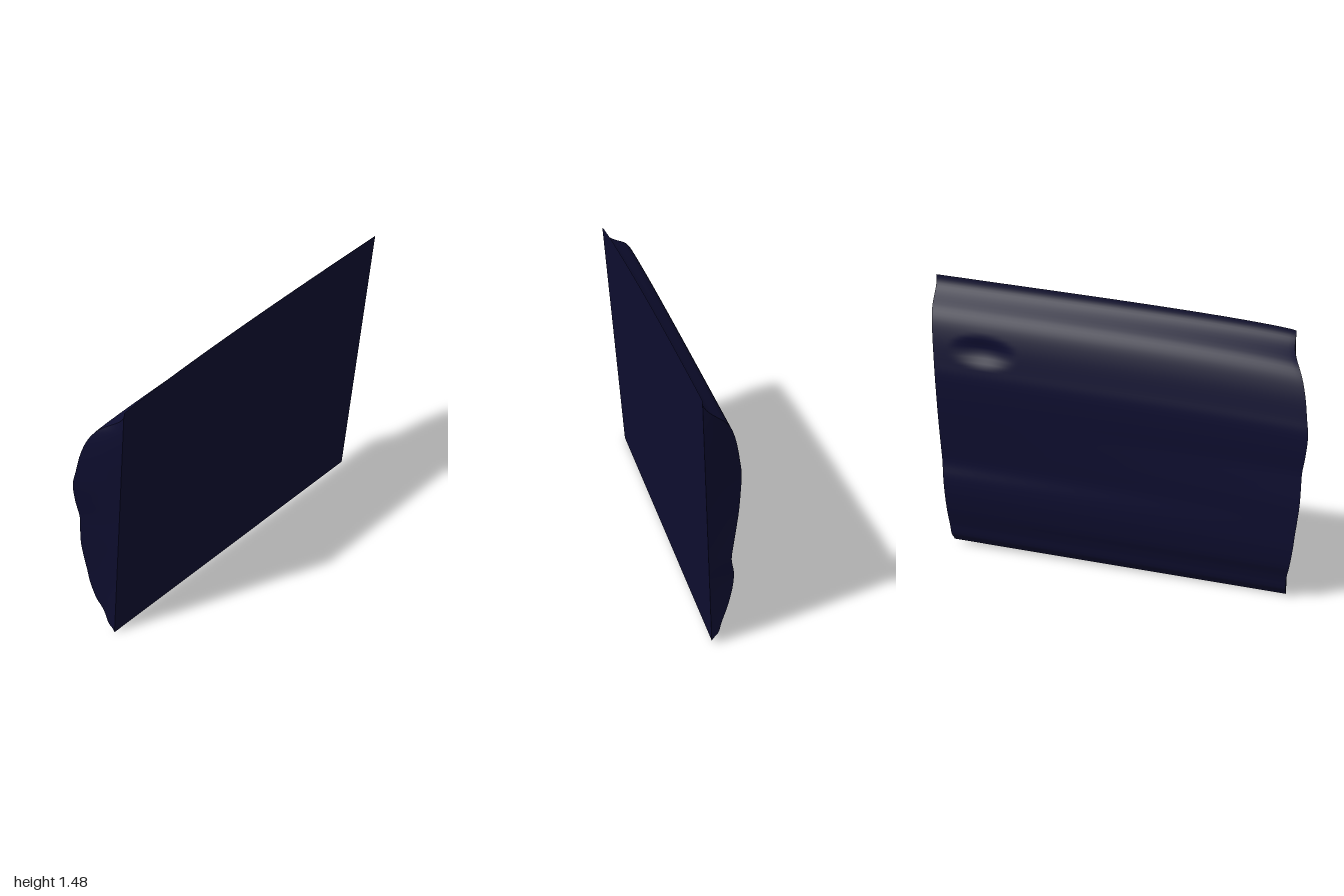
import * as THREE from 'three';

const { lerp } = THREE.MathUtils;

// Section of the pressed skin: height fraction, z at the -x end, z at the +x end
const section = new THREE.CatmullRomCurve3([
  [0, 0.005, 0.005], [0.012, -0.005, -0.006], [0.032, -0.03, -0.028],
  [0.075, -0.046, -0.042], [0.105, -0.06, -0.055], [0.14, -0.08, -0.07],
  [0.22, -0.1, -0.093], [0.28, -0.106, -0.096], [0.34, -0.112, -0.081],
  [0.41, -0.116, -0.09], [0.47, -0.113, -0.1], [0.53, -0.109, -0.109],
  [0.6, -0.116, -0.114], [0.68, -0.116, -0.115], [0.73, -0.103, -0.104],
  [0.81, -0.08, -0.081], [0.87, -0.05, -0.051], [0.92, 0, 0],
  [0.965, 0.055, 0.045], [1, 0.115, 0.092],
].map((p) => new THREE.Vector3(...p)), false, 'centripetal');

// Flat inner face: u runs from -x to +x, v from bottom to top
function inner(u, v) {
  const bottomY = lerp(0, 0.022, u);
  const topY = lerp(1.378, 1.478, u) + 0.018 * Math.sin(Math.PI * Math.pow(u, 0.6));
  const topZ = 0.092 + 0.023 * (1 - u) ** 2;
  return new THREE.Vector3(
    lerp(lerp(-0.906, -0.876, v), lerp(0.92, 0.998, v), u),
    lerp(bottomY, topY, v),
    lerp(0.005, topZ, v),
  );
}

// Curved outer skin, with the ends swept toward -x and a scooped handle recess
function outer(u, t) {
  const s = section.getPoint(t);
  const p = inner(u, s.x);
  const topBlend = THREE.MathUtils.smoothstep(s.x, 0.9, 1);
  const z = lerp(lerp(s.y, s.z, u), p.z, topBlend);
  const depth = p.z - z;
  p.x -= lerp(3.1, 1.1, u) * depth * depth;
  p.z = z;
  const r = Math.hypot((p.x - 0.68) / 0.2, (p.y - 1.15 - 0.05 * (p.x - 0.68)) / 0.08);
  if (r < 1) p.z += 0.028 * (1 - r * r) ** 2;
  return p;
}

// Bends a plane grid onto a surface rule
function panel(name, cols, rows, rule, material) {
  const geometry = new THREE.PlaneGeometry(1, 1, cols, rows);
  const { position, uv } = geometry.attributes;
  for (let i = 0; i < position.count; i++) {
    const p = rule(uv.getX(i), uv.getY(i));
    position.setXYZ(i, p.x, p.y, p.z);
  }
  geometry.computeVertexNormals();
  const mesh = new THREE.Mesh(geometry, material);
  mesh.name = name;
  return mesh;
}

export function createModel() {
  const group = new THREE.Group();
  group.name = 'doorPanel';
  const paint = new THREE.MeshStandardMaterial({ color: 0x0e0e30, side: THREE.DoubleSide });
  const flat = (u, t) => inner(u, section.getPoint(t).x);

  group.add(
    panel('innerFace', 40, 90, flat, paint),
    panel('outerSkin', 120, 90, (u, t) => outer(1 - u, t), paint),
    // End faces span from the inner face to the skin
    panel('leftEnd', 4, 90, (w, t) => flat(1, t).lerp(outer(1, t), w), paint),
    panel('rightEnd', 4, 90, (w, t) => outer(0, t).lerp(flat(0, t), w), paint),
  );
  return group;
}
